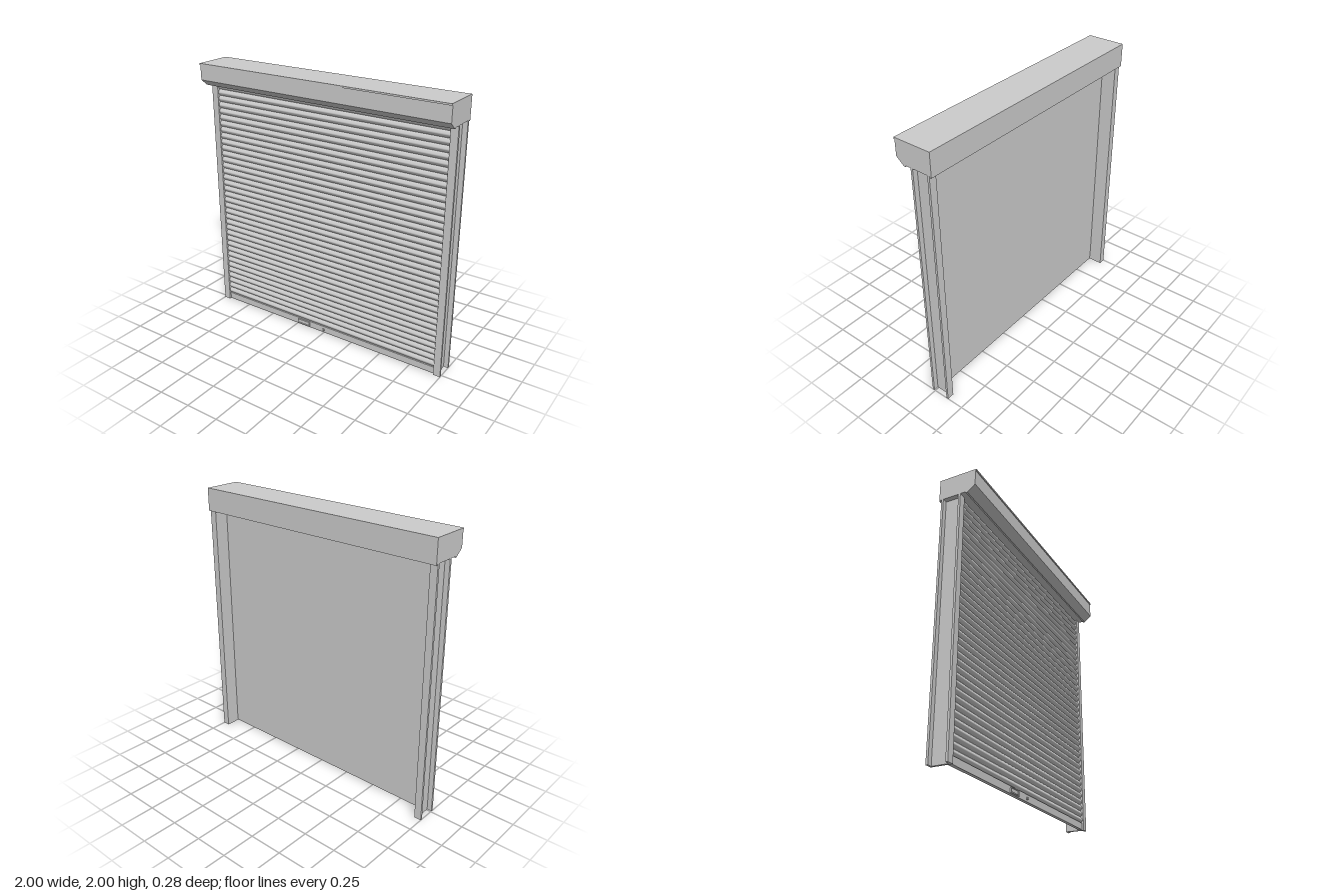
import * as THREE from 'three';
import { toCreasedNormals } from 'three/addons/utils/BufferGeometryUtils.js';

const grey = new THREE.MeshStandardMaterial({ color: 0xcccccc });

function add(parent, name, geometry, x = 0, y = 0, z = 0) {
  const mesh = new THREE.Mesh(geometry, grey);
  mesh.name = name;
  mesh.position.set(x, y, z);
  parent.add(mesh);
  return mesh;
}

// Box given by its limits on each axis
function box(parent, name, x0, x1, y0, y1, z0, z1) {
  return add(parent, name, new THREE.BoxGeometry(x1 - x0, y1 - y0, z1 - z0),
    (x0 + x1) / 2, (y0 + y1) / 2, (z0 + z1) / 2);
}

// Side profile of [z, y] points swept across the width, centred on x = 0
function sweep(points, width) {
  const shape = new THREE.Shape(points.map(([z, y]) => new THREE.Vector2(z, y)));
  const geometry = new THREE.ExtrudeGeometry(shape, { depth: width, bevelEnabled: false });
  geometry.translate(0, 0, -width / 2);
  geometry.rotateY(-Math.PI / 2);
  return geometry;
}

export function createModel() {
  const model = new THREE.Group();
  model.name = 'rollerShutter';

  // Roll housing: chamfered lower front, drip lip on top, recessed underside
  add(model, 'housing', sweep([
    [-0.14, 1.83], [-0.13, 1.83], [-0.13, 1.838], [0.065, 1.838], [0.065, 1.83],
    [0.078, 1.83], [0.135, 1.877], [0.135, 1.988], [0.142, 1.988], [0.142, 2], [-0.14, 2],
  ], 2));

  // Guide rails: channels that open outwards
  for (const side of [1, -1]) {
    const rail = new THREE.Group();
    rail.name = side > 0 ? 'leftRail' : 'rightRail';
    const part = (name, a, b, z0, z1) =>
      box(rail, name, Math.min(a * side, b * side), Math.max(a * side, b * side), 0, 1.838, z0, z1);
    part('railWeb', 0.947, 0.965, -0.124, 0.024);
    part('frontFlange', 0.965, 1, 0.008, 0.024);
    part('backFlange', 0.965, 1, -0.124, -0.108);
    model.add(rail);
  }

  // Curtain of bulging slats with a flat back
  const curtain = new THREE.Group();
  curtain.name = 'curtain';
  model.add(curtain);
  const count = 37, bottom = 0.055, pitch = (1.838 - bottom) / count;
  const profile = [[-0.016, 0]];
  for (let i = 0; i <= 8; i++) {
    profile.push([0.001 + 0.016 * Math.sin(Math.PI * i / 8), pitch * i / 8]);
  }
  profile.push([-0.016, pitch]);
  const slat = toCreasedNormals(sweep(profile, 1.896), 0.6);
  for (let i = 0; i < count; i++) add(curtain, 'slat', slat, 0, bottom + i * pitch);

  // Bottom bar with lift handle and lock
  box(model, 'bottomBar', -0.944, 0.944, 0.004, bottom, -0.016, 0.012);
  const frame = new THREE.Shape([
    [-0.054, -0.019], [0.054, -0.019], [0.054, 0.019], [-0.054, 0.019],
  ].map(([x, y]) => new THREE.Vector2(x, y)));
  frame.holes.push(new THREE.Path([
    [-0.047, -0.011], [-0.047, 0.013], [0.047, 0.013], [0.047, -0.011],
  ].map(([x, y]) => new THREE.Vector2(x, y))));
  add(model, 'handleFrame',
    new THREE.ExtrudeGeometry(frame, { depth: 0.01, bevelEnabled: false }), -0.185, 0.029, 0.012);
  box(model, 'handlePlate', -0.232, -0.138, 0.018, 0.042, 0.01, 0.016);

  const lock = new THREE.CylinderGeometry(0.01, 0.01, 0.01, 20);
  lock.rotateX(Math.PI / 2);
  add(model, 'lock', lock, 0, 0.027, 0.015);
  box(model, 'keySlot', -0.002, 0.002, 0.021, 0.033, 0.019, 0.022);

  return model;
}
